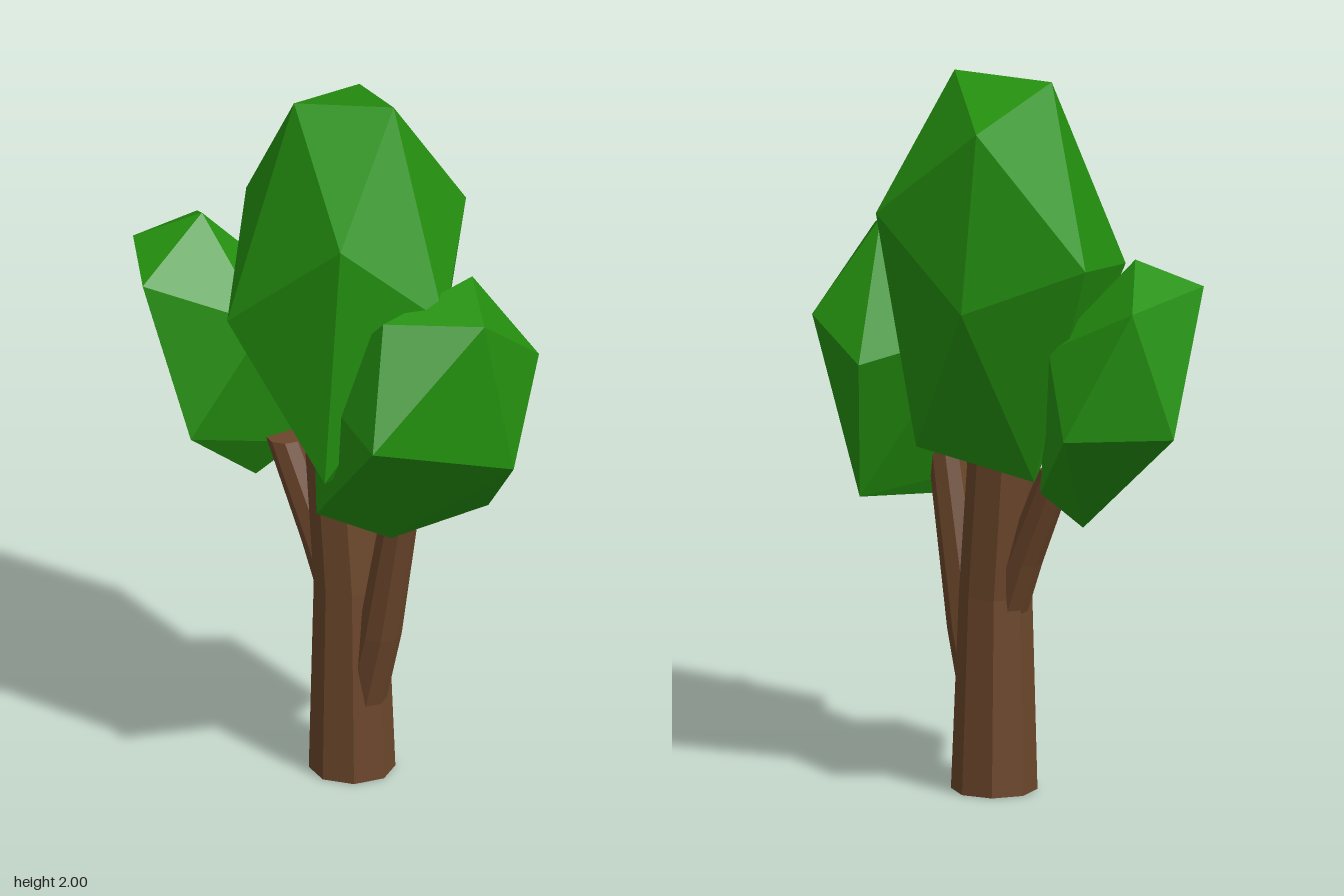
import * as THREE from 'three';
import { ConvexGeometry } from 'three/addons/geometries/ConvexGeometry.js';

const bark = new THREE.MeshStandardMaterial({ color: 0x6b462b, flatShading: true });
const leaf = new THREE.MeshStandardMaterial({ color: 0x24900f, flatShading: true });

// Eight-sided limb through rings [x, y, z, radius], listed from bottom to top
function limb(name, rings) {
  const steps = rings.length - 1;
  const geo = new THREE.CylinderGeometry(1, 1, 1, 8, steps);
  const p = geo.attributes.position;
  for (let i = 0; i < p.count; i++) {
    const [x, y, z, r] = rings[Math.round((p.getY(i) + 0.5) * steps)];
    p.setXYZ(i, x + p.getX(i) * r, y, z + p.getZ(i) * r);
  }
  geo.computeVertexNormals();
  const mesh = new THREE.Mesh(geo, bark);
  mesh.name = name;
  return mesh;
}

// Faceted foliage clump wrapped around its corner points
function clump(name, corners) {
  const geo = new ConvexGeometry(corners.map((c) => new THREE.Vector3(...c)));
  const mesh = new THREE.Mesh(geo, leaf);
  mesh.name = name;
  return mesh;
}

export function createModel() {
  const tree = new THREE.Group();
  tree.name = 'tree';

  // Trunk and its two branches
  tree.add(
    limb('trunk', [[0.03, 0, 0.083, 0.118], [0.033, 0.55, 0.074, 0.1], [0.035, 1.1, 0.025, 0.098]]),
    limb('frontBranch', [[0.03, 0.22, 0.13, 0.06], [0.03, 0.43, 0.185, 0.06], [0.03, 0.92, 0.28, 0.05]]),
    limb('backBranch', [[0.03, 0.48, 0.04, 0.055], [0.02, 0.65, -0.02, 0.055], [0, 0.93, -0.14, 0.05]])
  );

  // Tall central crown
  tree.add(clump('mainCrown', [
    [0.07, 2, 0.2], [-0.07, 1.985, -0.04], [0.27, 1.905, -0.11],
    [0.345, 1.64, 0.215], [0.33, 1.41, -0.115], [0.13, 1.55, -0.4],
    [-0.27, 1.715, 0.315], [-0.35, 1.43, -0.03], [-0.02, 1.47, 0.47],
    [-0.295, 1.02, 0.28], [0.12, 0.92, -0.18], [0.22, 0.97, 0.19],
  ]));

  // Lower clump on the front branch
  tree.add(clump('frontCrown', [
    [0.125, 1.55, 0.44], [0, 1.49, 0.6], [-0.19, 1.5, 0.4],
    [-0.325, 1.18, 0.485], [0.29, 1.29, 0.535], [0.345, 1.2, 0.285],
    [0.09, 1.04, 0.625], [0.255, 0.8, 0.38], [-0.05, 0.78, 0.3],
    [-0.23, 0.88, 0.19], [0.1, 1.28, 0.12], [-0.2, 1.25, 0.15],
  ]));

  // Lower clump on the back branch
  tree.add(clump('backCrown', [
    [-0.07, 1.55, -0.38], [-0.195, 1.48, -0.52], [0.09, 1.45, -0.545],
    [0.01, 1.1, -0.625], [0.225, 1.09, -0.415], [-0.325, 1.42, -0.365],
    [-0.3, 1, -0.21], [0, 0.785, -0.245], [0.08, 0.88, -0.16],
    [0.15, 1.31, -0.27], [-0.12, 1.32, -0.1],
  ]));

  return tree;
}
